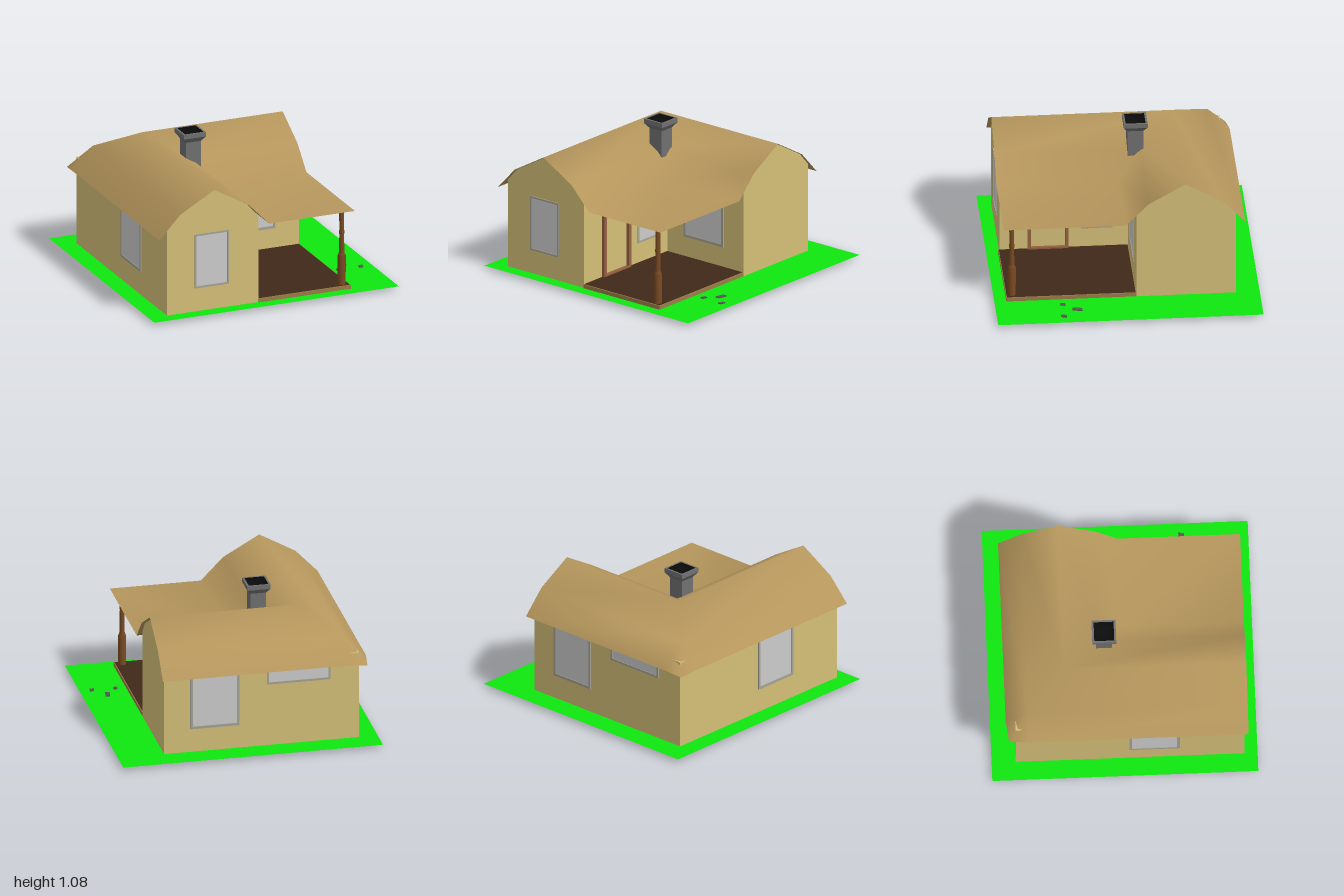
import * as THREE from 'three';
import { mergeVertices } from 'three/addons/utils/BufferGeometryUtils.js';

const GROUND = 0.027, EAVE = 0.655, WALL_TOP = 0.72;

const mat = (color, extra = {}) => new THREE.MeshStandardMaterial({ color, ...extra });
const wallMat = mat(0xd4bf78, { side: THREE.DoubleSide });
const roofMat = mat(0xb5965c, { side: THREE.DoubleSide });
const grassMat = mat(0x0fe60f, { side: THREE.DoubleSide });
const glassMat = mat(0xcccccc);
const frameMat = mat(0xa5a294);
const doorMat = mat(0x96623f);
const postMat = mat(0x7a4a22);
const deckMat = mat(0x9c7c48);
const floorMat = mat(0x402818);
const stoneMat = mat(0x707070, { flatShading: true, side: THREE.DoubleSide });
const sootMat = mat(0x0c0c0c, { side: THREE.DoubleSide });
const rockMat = mat(0x5c5454, { flatShading: true });

function add(parent, name, geometry, material, x = 0, y = 0, z = 0) {
  const mesh = new THREE.Mesh(geometry, material);
  mesh.name = name;
  mesh.position.set(x, y, z);
  parent.add(mesh);
  return mesh;
}

// Closed shape from [x, y] pairs
const shapeOf = (pts) => new THREE.Shape(pts.map(([x, y]) => new THREE.Vector2(x, y)));

// Rectangular ring, centred, w x h outside, border t wide
function ringGeometry(w, h, t, depth) {
  const rect = (a, b) => [[-a, -b], [a, -b], [a, b], [-a, b]];
  const shape = shapeOf(rect(w / 2, h / 2));
  shape.holes.push(shapeOf(rect(w / 2 - t, h / 2 - t)));
  return new THREE.ExtrudeGeometry(shape, { depth, bevelEnabled: false });
}

// Window facing local +z
function addWindow(parent, name, w, h, t, [x, y, z], turn) {
  const g = new THREE.Group();
  g.name = name;
  g.position.set(x, y, z);
  g.rotation.y = turn;
  add(g, 'pane', new THREE.PlaneGeometry(w - t, h - t), glassMat, 0, 0, 0.003);
  add(g, 'frame', ringGeometry(w, h, t, 0.008), frameMat);
  parent.add(g);
}

// L-shaped gambrel roof: one profile mitred round the corner, plus a flat porch cover
function roofGeometry() {
  const ridgeX = -0.48, ridgeZ = -0.44, frontZ = 0.93, endX = 0.67;
  const profile = [[0.45, 0.65], [0.28, 0.83], [0, 0.99], [-0.28, 0.83], [-0.45, EAVE]];
  const rows = profile.map(([d, y], i) => {
    const x = ridgeX - d, z = ridgeZ - d;
    const corner = i === 0 ? [x + 0.02, 0.63, z + 0.02] : [x, y, z];
    return [
      [x, y, frontZ],
      [x, y, Math.max(z, -0.72)],
      corner,
      [Math.max(x, -0.76), y, z],
      [endX, y, z],
    ];
  });
  rows.push(Array(5).fill([endX, EAVE, frontZ]));
  const index = [];
  for (let r = 0; r < rows.length - 1; r++) {
    for (let s = 0; s < 4; s++) {
      const a = r * 5 + s, b = a + 5;
      index.push(a, b, a + 1, a + 1, b, b + 1);
    }
  }
  const geo = new THREE.BufferGeometry();
  geo.setAttribute('position', new THREE.Float32BufferAttribute(rows.flat(2), 3));
  geo.setIndex(index);
  const merged = mergeVertices(geo, 1e-4);
  merged.computeVertexNormals();
  return merged;
}

// Square lathe: profile of [half width, height]
function squareLathe(profile) {
  const pts = profile.map(([r, y]) => new THREE.Vector2(r * Math.SQRT2, y));
  return new THREE.LatheGeometry(pts, 4, Math.PI / 4);
}

export function createModel() {
  const house = new THREE.Group();
  house.name = 'cottage';

  // Lawn
  add(house, 'lawn', new THREE.PlaneGeometry(2, 2).rotateX(-Math.PI / 2), grassMat, 0, GROUND, 0);

  // Walls: L-shaped plan raised to the eaves
  const plan = shapeOf([[-0.855, -0.9], [-0.105, -0.9], [-0.105, 0.07],
    [0.645, 0.07], [0.645, 0.82], [-0.855, 0.82]]);
  const walls = new THREE.ExtrudeGeometry(plan, { depth: WALL_TOP - GROUND - 0.002, bevelEnabled: false });
  add(house, 'walls', walls.rotateX(-Math.PI / 2), wallMat, 0, GROUND + 0.002, 0);

  // Gable ends
  const gable = new THREE.ShapeGeometry(shapeOf([[-0.375, WALL_TOP], [0.375, WALL_TOP],
    [0.28, 0.825], [0, 0.985], [-0.28, 0.825]]));
  add(house, 'frontGable', gable, wallMat, -0.48, 0, 0.9);
  add(house, 'sideGable', gable, wallMat, 0.645, 0, -0.445).rotation.y = Math.PI / 2;

  add(house, 'roof', roofGeometry(), roofMat);

  // Windows
  const q = Math.PI / 2;
  addWindow(house, 'frontWindow', 0.28, 0.43, 0.014, [-0.49, 0.43, 0.9], 0);
  addWindow(house, 'porchWindow', 0.39, 0.43, 0.02, [0.255, 0.43, -0.07], 0);
  addWindow(house, 'porchSideWindow', 0.23, 0.43, 0.014, [-0.105, 0.43, 0.165], q);
  addWindow(house, 'leftWindow', 0.38, 0.43, 0.02, [-0.855, 0.43, 0.225], -q);
  addWindow(house, 'backWindow', 0.38, 0.43, 0.02, [0.255, 0.43, -0.82], 2 * q);
  addWindow(house, 'backSlotWindow', 0.49, 0.12, 0.016, [-0.39, 0.585, -0.82], 2 * q);

  // Door frame onto the porch
  add(house, 'doorFrame', ringGeometry(0.31, 0.59, 0.025, 0.025), doorMat,
    -0.105, 0.345, 0.535).rotation.y = q;

  // Porch deck and floor
  add(house, 'porchDeck', new THREE.BoxGeometry(0.75, 0.03, 0.98), deckMat, 0.27, 0.044, 0.42);
  add(house, 'porchFloor', new THREE.PlaneGeometry(0.74, 0.97).rotateX(-q), floorMat, 0.27, 0.061, 0.42);

  // Turned porch post
  const post = [[0.03, 0.06], [0.031, 0.29], [0.024, 0.305], [0.02, 0.32], [0.018, 0.46],
    [0.021, 0.47], [0.021, 0.485], [0.018, 0.495], [0.019, EAVE]];
  add(house, 'porchPost', new THREE.LatheGeometry(post.map(([r, y]) => new THREE.Vector2(r, y)), 16),
    postMat, 0.59, 0, 0.865);

  // Chimney with a flared cap and open flue
  const chimney = new THREE.Group();
  chimney.name = 'chimney';
  chimney.position.set(-0.22, 0, -0.13);
  add(chimney, 'stack', squareLathe([[0.06, 0.76], [0.06, 1.0], [0.09, 1.04], [0.09, 1.075], [0.075, 1.075]]), stoneMat);
  add(chimney, 'flue', squareLathe([[0.075, 1.075], [0.075, 1.045], [0.05, 1.0], [0, 1.0]]), sootMat);
  house.add(chimney);

  // Slanted stepping stones
  const rocks = [[0.72, 0.495, 0.03, 0.035], [0.808, 0.392, 0.035, 0.07], [0.9, 0.5, 0.03, 0.04]];
  rocks.forEach(([x, z, w, d], i) => {
    const geo = new THREE.BoxGeometry(w, 0.035, d);
    const lean = i === 1 ? 0.1 : 0.45;
    geo.applyMatrix4(new THREE.Matrix4().set(1, lean, -0.2, 0, 0, 1, 0, 0, 0, -0.3, 1, 0, 0, 0, 0, 1));
    add(house, 'rock', geo, rockMat, x, 0.0175, z);
  });

  return house;
}
